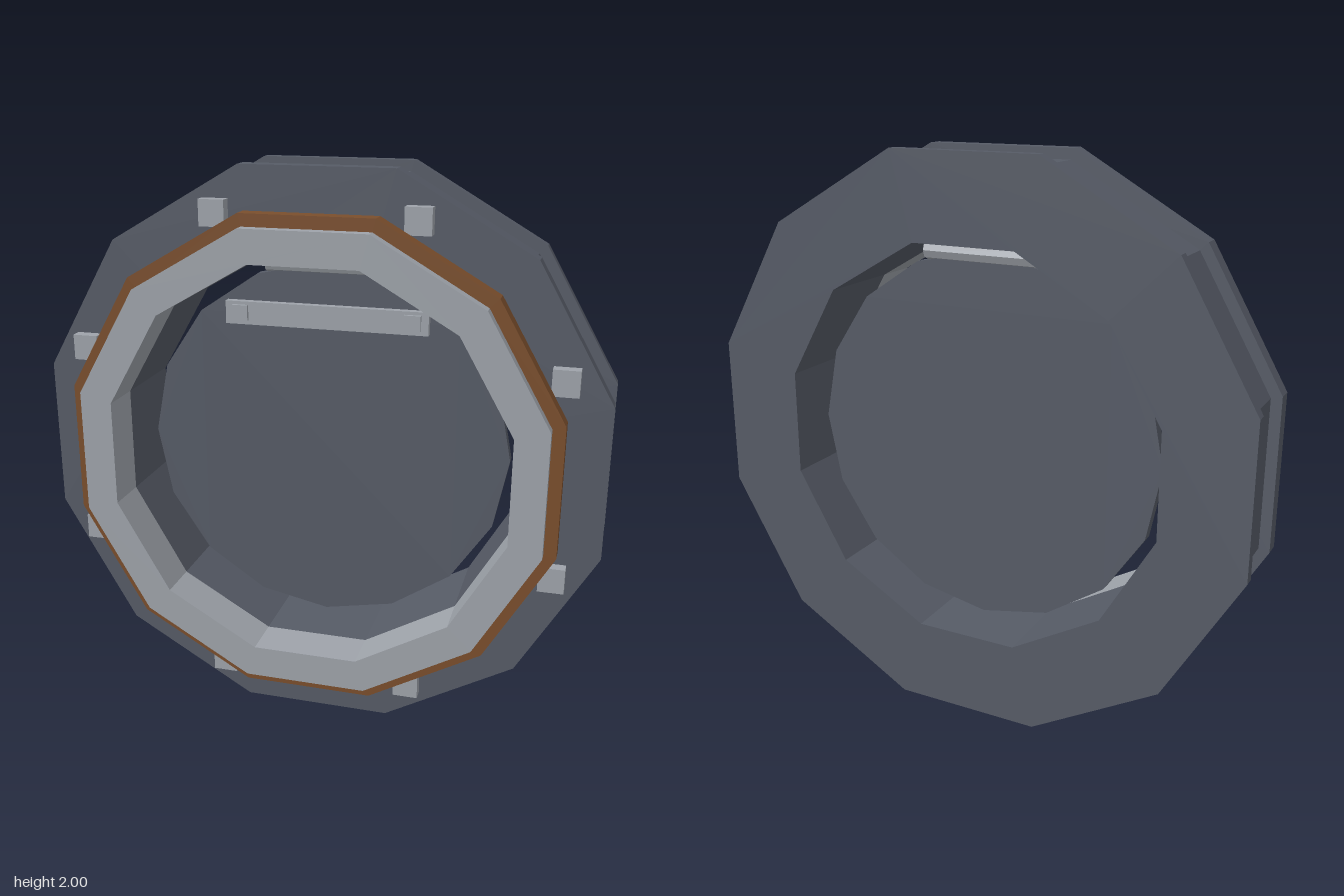
import * as THREE from 'three';

const darkSteel = new THREE.MeshStandardMaterial({ color: 0x565b66 });
darkSteel.name = 'darkSteel';
const paleSteel = new THREE.MeshStandardMaterial({ color: 0x9ea3aa });
paleSteel.name = 'paleSteel';
const rust = new THREE.MeshStandardMaterial({ color: 0x7a4e2c });
rust.name = 'rust';

// Regular polygon corners with the given corner radius
function corners(radius, sides, offset = 0) {
  return Array.from({ length: sides }, (_, i) => {
    const a = offset + (i / sides) * Math.PI * 2;
    return new THREE.Vector2(radius * Math.cos(a), radius * Math.sin(a));
  });
}

// Flat-sided prism along z
function prism(shape, z0, z1) {
  const geo = new THREE.ExtrudeGeometry(shape, { depth: z1 - z0, bevelEnabled: false });
  return geo.translate(0, 0, z0);
}

// Twelve-sided ring with flats at top and sides; sizes measured to the flats
function ring(outer, inner, z0, z1) {
  const k = 1 / Math.cos(Math.PI / 12);
  const shape = new THREE.Shape(corners(outer * k, 12, Math.PI / 12));
  shape.holes.push(new THREE.Path(corners(inner * k, 12, Math.PI / 12)));
  return prism(shape, z0, z1);
}

export function createModel() {
  const model = new THREE.Group();
  model.name = 'hatchPort';

  const add = (name, geo, mat, x = 0, y = 1, z = 0) => {
    const mesh = new THREE.Mesh(geo, mat);
    mesh.name = name;
    mesh.position.set(x, y, z);
    model.add(mesh);
  };

  // Housing: recessed drum between two flanges
  add('backFlange', ring(1, 0.7, -0.24, -0.2), darkSteel);
  add('drum', ring(0.963, 0.7, -0.2, 0.025), darkSteel);
  add('frontFlange', ring(1, 0.7, 0.025, 0.083), darkSteel);

  // Docking collar with its seal band
  add('collar', ring(0.815, 0.7, 0.083, 0.243), paleSteel);
  add('sealBand', ring(0.858, 0.81, 0.143, 0.202), rust);

  // Bolts around the front flange
  for (let i = 0; i < 8; i++) {
    const a = Math.PI / 8 + (i * Math.PI) / 4;
    add('bolt', new THREE.BoxGeometry(0.09, 0.09, 0.045), paleSteel,
      0.912 * Math.cos(a), 1 + 0.912 * Math.sin(a), 0.1025);
  }

  // Door inside the opening
  add('door', prism(new THREE.Shape(corners(0.663, 16)), -0.1, -0.06), darkSteel);

  // Hinge barrel across the top of the door
  const barrel = prism(new THREE.Shape(corners(0.036, 8)), -0.222, 0.222).rotateY(Math.PI / 2);
  add('hinge', barrel, paleSteel, 0, 1.655, -0.08);

  // Handle bar with two end studs
  add('handleBar', new THREE.BoxGeometry(0.73, 0.082, 0.03), paleSteel, 0, 1.475, -0.047);
  for (const side of [-1, 1]) {
    add('handleStud', new THREE.BoxGeometry(0.058, 0.055, 0.03), paleSteel, side * 0.31, 1.477, -0.035);
  }

  return model;
}
